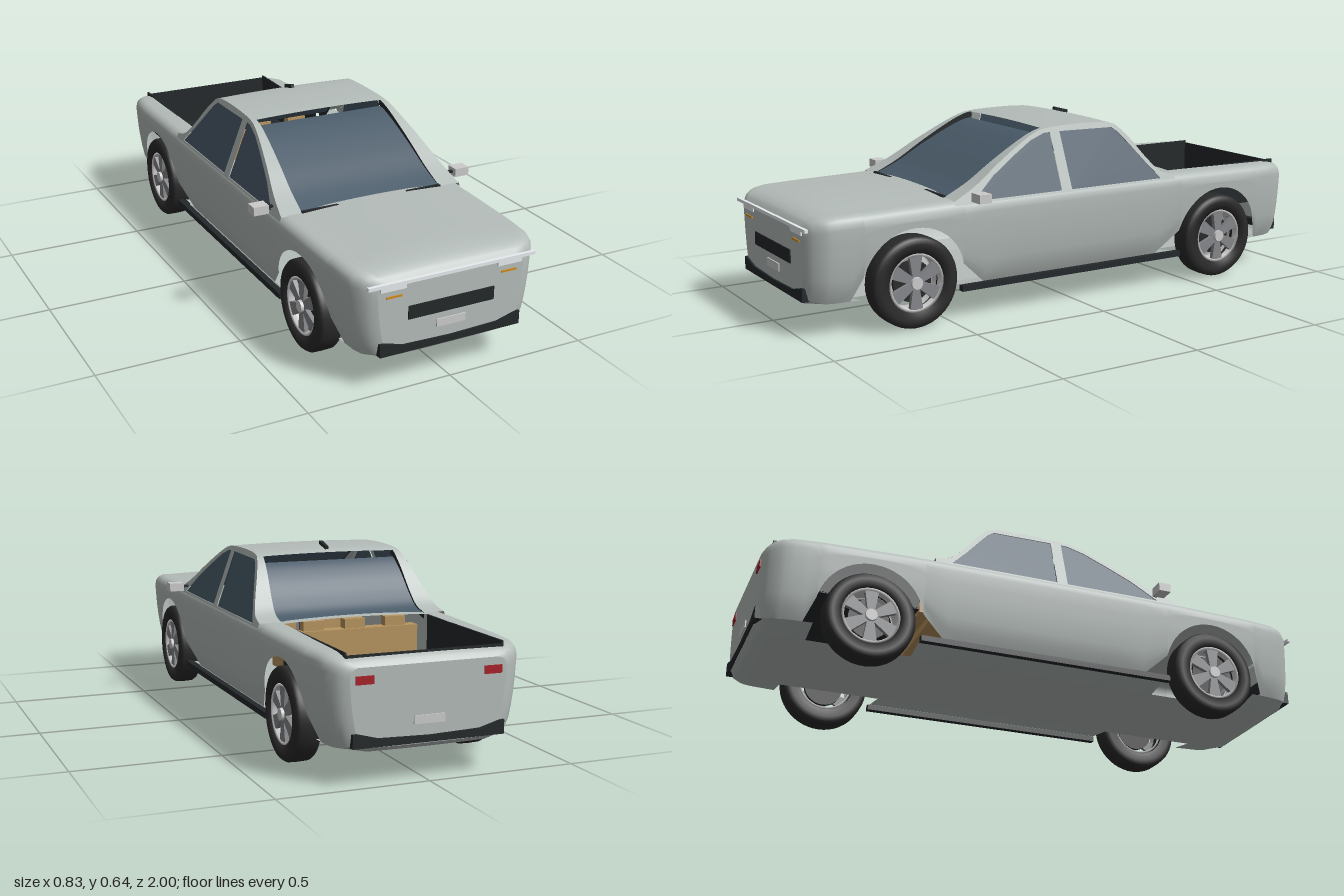
import * as THREE from 'three';

const mat = (color, side = THREE.FrontSide) => new THREE.MeshStandardMaterial({ color, side });
const paint = mat(0xb4bcb9, THREE.DoubleSide);
const glass = mat(0x4a5b69, THREE.DoubleSide);
const black = mat(0x24282a, THREE.DoubleSide);
const rubber = mat(0x2a2a2a, THREE.DoubleSide);
const grey = mat(0xcccccc, THREE.DoubleSide);
const alloy = mat(0x85878a);
const tan = mat(0xb8955f);
const white = mat(0xe8ecef);
const amber = mat(0xd08a1c);
const red = mat(0xa81f28);

// Piecewise linear lookup in a list of [key, value] with rising keys
function at(table, k) {
  let i = 1;
  while (i < table.length - 1 && table[i][0] < k) i++;
  const [a, b] = [table[i - 1], table[i]];
  return THREE.MathUtils.lerp(a[1], b[1], THREE.MathUtils.clamp((k - a[0]) / (b[0] - a[0]), 0, 1));
}
const range = (a, b, n) => Array.from({ length: n + 1 }, (_, i) => a + (b - a) * i / n);

// Smooth sheet over a grid of parameters
function sheet(us, vs, fn) {
  const pos = [], index = [], n = vs.length;
  us.forEach((u, i) => vs.forEach((v, j) => {
    pos.push(...fn(u, v));
    if (i && j) {
      const d = i * n + j, c = d - 1, b = d - n, a = b - 1;
      index.push(a, c, b, b, c, d);
    }
  }));
  const g = new THREE.BufferGeometry();
  g.setAttribute('position', new THREE.Float32BufferAttribute(pos, 3));
  g.setIndex(index);
  g.computeVertexNormals();
  return g;
}

// Lower body rules, by distance from the middle
const WHEEL_Z = 0.635, WHEEL_Y = 0.155, ARCH = 0.185, END = 0.99, INNER = 0.265;
const halfWidth = z => at([[0, 0.352], [0.5, 0.352], [0.8, 0.347], [0.9, 0.338], [0.94, 0.326], [0.97, 0.302], [0.985, 0.278], [END, 0.262]], Math.abs(z));
const topY = z => at([[0, 0.412], [0.5, 0.41], [0.9, 0.403], [0.95, 0.396], [0.975, 0.384], [END, 0.366]], Math.abs(z));
const lowY = z => at([[0, 0.115], [0.93, 0.115], [0.97, 0.122], [END, 0.138]], Math.abs(z));
const bulge = f => at([[0, 0.87], [0.15, 0.93], [0.35, 0.963], [0.6, 0.987], [0.85, 1], [0.91, 0.992], [0.95, 0.975], [0.98, 0.945], [1, 0.9]], f);
const crown = (x, z) => 0.008 * (1 - (x / INNER) ** 2) * THREE.MathUtils.clamp((END - Math.abs(z)) * 8, 0, 1);
const CHORD = Math.sqrt(ARCH ** 2 - (WHEEL_Y - 0.115) ** 2);
const halfStations = [...range(0, WHEEL_Z - CHORD, 5), ...range(0, Math.PI, 24).map(a => WHEEL_Z - ARCH * Math.cos(a))
  .filter(z => Math.abs(z - WHEEL_Z) < CHORD), WHEEL_Z + CHORD, 0.85, 0.9, 0.925, 0.94, 0.955, 0.97, 0.978, 0.985, END];
const stations = [...halfStations.slice(1).reverse().map(z => -z), ...halfStations];

function bodySide(z, k) {
  const low = lowY(z), top = topY(z);
  const d = Math.abs(Math.abs(z) - WHEEL_Z);
  const edge = d <= CHORD ? Math.max(low, WHEEL_Y + Math.sqrt(ARCH ** 2 - d * d)) : low;
  const f0 = (edge - low) / (top - low);
  const f = k <= 6 ? f0 + (0.85 - f0) * k / 6 : [0.91, 0.95, 0.98, 1, 1][k - 7];
  const x = k === 11 ? Math.min(INNER, halfWidth(z) * 0.85) : halfWidth(z) * bulge(f);
  return [x, low + (top - low) * f, z];
}

// Cabin rules: side outline (z, y) and inward lean
const outline = new THREE.SplineCurve([[-0.42, 0.411], [-0.36, 0.43], [-0.31, 0.48], [-0.26, 0.545], [-0.215, 0.592], [-0.18, 0.61],
  [-0.1, 0.616], [0, 0.616], [0.08, 0.612], [0.13, 0.602], [0.2, 0.57], [0.3, 0.514], [0.4, 0.452], [0.49, 0.409]]
  .map(p => new THREE.Vector2(...p))).getPoints(70);
const roofTable = outline.map(p => [p.x, p.y]);
const roofY = z => at(roofTable, z);
const cabinX = y => 0.345 - 0.37 * (y - 0.4);
const glassX = y => 0.268 - 0.09 * (y - 0.41);
const windows = {
  frontSideWindow: [[0.42, 0.402], [0.33, 0.475], [0.24, 0.53], [0.16, 0.575], [0.1, 0.596], [0.075, 0.597], [0.068, 0.402]],
  rearSideWindow: [[0.028, 0.402], [0.035, 0.597], [-0.185, 0.594], [-0.21, 0.575], [-0.245, 0.535], [-0.3, 0.468], [-0.36, 0.402]],
};
const vectors = list => list.map(p => new THREE.Vector2(...p));

// Flat shape in (z, y) laid on the leaning cabin side
function lean(shape, side, inset) {
  const g = new THREE.ShapeGeometry(shape), p = g.attributes.position;
  for (let i = 0; i < p.count; i++) {
    const z = p.getX(i), y = p.getY(i);
    p.setXYZ(i, side * (cabinX(y) - inset), y, z);
  }
  g.computeVertexNormals();
  return g;
}

function makeWheel(side) {
  const wheel = new THREE.Group();
  wheel.name = 'wheel';
  const put = (name, g, m) => {
    const o = new THREE.Mesh(g, m);
    o.name = name;
    wheel.add(o);
    return o;
  };
  const tyre = [[0.1, -0.04], [0.13, -0.045], [0.147, -0.04], [0.154, -0.03], [0.155, 0], [0.154, 0.03], [0.147, 0.04], [0.13, 0.045], [0.1, 0.04], [0.097, 0], [0.1, -0.04]];
  put('tyre', new THREE.LatheGeometry(vectors(tyre), 48), rubber);
  put('rim', new THREE.LatheGeometry(vectors([[0.088, 0.015], [0.09, 0.035], [0.099, 0.038], [0.097, -0.035], [0.09, -0.035]]), 40), grey);
  put('brakeDisc', new THREE.CylinderGeometry(0.07, 0.07, 0.012, 32), rubber);
  put('hub', new THREE.CylinderGeometry(0.02, 0.024, 0.05, 20), grey).position.y = 0.02;
  for (let i = 0; i < 6; i++) {
    const a = i * Math.PI / 3;
    const spoke = new THREE.Shape(vectors([[0.01, -0.011], [0.093, -0.024], [0.093, 0.024], [0.01, 0.011]]));
    const g = new THREE.ExtrudeGeometry(spoke, { depth: 0.015, bevelEnabled: false }).rotateX(-Math.PI / 2).translate(0, 0.02, 0);
    put('spoke', g, alloy).rotation.y = a;
  }
  wheel.rotation.z = -side * Math.PI / 2;
  return wheel;
}

export function createModel() {
  const model = new THREE.Group();
  const add = (name, geometry, material) => {
    const m = new THREE.Mesh(geometry, material);
    m.name = name;
    model.add(m);
    return m;
  };
  const box = (name, material, w, h, d, x, y, z) =>
    add(name, new THREE.BoxGeometry(w, h, d), material).position.set(x, y, z);

  // Painted top sheets between the shoulders
  const top = (x, z) => [x * Math.min(INNER, halfWidth(z) * 0.85), topY(z) + crown(x * INNER, z), z];
  const across = range(-1, 1, 16);
  add('hood', sheet([...range(0.47, 0.9, 8), 0.925, 0.94, 0.955, 0.97, 0.978, 0.985, END], across, (z, x) => top(x, z)), paint);
  add('rearDeck', sheet(range(-0.45, -0.405, 1), across, (z, x) => top(x, z)), paint);
  add('tailgateTop', sheet([-END, -0.985, -0.978, -0.97, -0.96], across, (z, x) => top(x, z)), paint);

  // Floor pan, notched at the wheels
  add('floorPan', sheet(stations, range(-0.2, 0.2, 4), (z, x) => [x, lowY(z) - 0.02 + 0.05 * x * x, z]), paint);
  const [near, far] = [WHEEL_Z - CHORD, WHEEL_Z + CHORD];
  const spans = [range(-near, near, 6), stations.filter(z => z >= far - 1e-6), stations.filter(z => z <= -far + 1e-6)];

  // Front and rear faces
  for (const end of [1, -1]) {
    const half = range(0, 11, 11).map(k => bodySide(end * END, k));
    const ring = [[0, lowY(END) - 0.02], [0.2, lowY(END) - 0.018], ...half, ...half.slice().reverse().map(p => [-p[0], p[1]]), [-0.2, lowY(END) - 0.018]];
    add(end > 0 ? 'frontFace' : 'tailgate', new THREE.ShapeGeometry(new THREE.Shape(ring.map(p => new THREE.Vector2(p[0], p[1])))), paint).position.z = end * END;
    const lip = new THREE.Shape(vectors([[-0.255, 0.122], [0.255, 0.122], [0.255, 0.167], [0.24, 0.167], [0.17, 0.148], [0, 0.143], [-0.17, 0.148], [-0.24, 0.167], [-0.255, 0.167]]));
    add('bumper', new THREE.ExtrudeGeometry(lip, { depth: 0.035, bevelEnabled: false }), black).position.z = end > 0 ? 0.962 : -0.997;
    box('plate', grey, 0.105, 0.027, 0.008, 0, 0.193, end * 0.99);
  }

  for (const s of [1, -1]) {
    add('bodySide', sheet(stations, range(0, 11, 11), (z, k) => {
      const p = bodySide(z, k);
      return [s * p[0], p[1], z];
    }), paint);
    for (const span of spans) add('floorEdge', sheet(span, [0, 1], (z, t) =>
      [s * THREE.MathUtils.lerp(0.2, halfWidth(z) * bulge(0), t), lowY(z) - 0.018 * (1 - t), z]), paint);

    // Cabin side with window openings and glass
    const panel = new THREE.Shape([...outline, new THREE.Vector2(0.49, 0.395), new THREE.Vector2(-0.42, 0.395)]);
    for (const [name, pts] of Object.entries(windows)) {
      panel.holes.push(new THREE.Path(vectors(pts)));
      add(name, lean(new THREE.Shape(vectors(pts)), s, 0.004), glass);
    }
    add('cabinSide', lean(panel, s, 0), paint);
    for (const [name, a, b] of [['frontPillar', 0.09, 0.49], ['rearPillar', -0.42, -0.18]]) {
      add(name, sheet(range(a, b, 24), [0, 1], (z, t) => {
        const y = roofY(z);
        return [s * THREE.MathUtils.lerp(glassX(y) - 0.004, cabinX(y), t), y, z];
      }), paint);
      add('windowTrim', sheet(range(a, b, 24), [0, 1], (z, t) => {
        const y = roofY(z);
        return [s * (glassX(y) - 0.004), y - 0.022 * t, z];
      }), black);
    }

    // Mirrors, sills, lamps
    box('mirror', grey, 0.054, 0.03, 0.045, s * 0.388, 0.422, 0.415);
    box('mirrorArm', black, 0.03, 0.008, 0.012, s * 0.352, 0.422, 0.415);
    box('sill', black, 0.022, 0.02, 0.92, s * 0.325, 0.108, 0);
    box('headlight', white, 0.09, 0.015, 0.012, s * 0.21, 0.347, 0.988);
    box('turnSignal', amber, 0.056, 0.006, 0.012, s * 0.207, 0.318, 0.988);
    box('tailLight', red, 0.06, 0.026, 0.012, s * 0.215, 0.328, -0.988);

    // Bed side lining and wheels
    box('bedWall', black, 0.006, 0.158, 0.51, s * 0.264, 0.329, -0.705);
    for (const z of [WHEEL_Z, -WHEEL_Z]) {
      const wheel = makeWheel(s);
      wheel.position.set(s * 0.306, WHEEL_Y, z);
      model.add(wheel);
    }
  }

  // Roof and end windows
  add('roof', sheet(range(-0.2, 0.1, 20), across, (z, t) => {
    const y = roofY(z);
    return [t * cabinX(y), y + 0.005 * (1 - t * t), z];
  }), paint);
  const pane = (name, base, head) => add(name, sheet(range(0, 1, 20), [-1, 1], (t, x) => {
    const z = THREE.MathUtils.lerp(base, head, t), y = roofY(z);
    return [x * (glassX(y) - 0.004), y - 0.002 - 0.02 * t, z];
  }), glass);
  pane('windshield', 0.488, 0.1);
  pane('rearWindow', -0.412, -0.2);
  box('cowl', black, 0.53, 0.008, 0.012, 0, 0.412, 0.487);
  const antenna = add('antenna', new THREE.BoxGeometry(0.012, 0.012, 0.06), black);
  antenna.position.set(0, 0.628, -0.148);
  antenna.rotation.x = -0.25;

  // Nose details
  box('lightBar', white, 0.6, 0.011, 0.012, 0, 0.362, 0.994);
  box('grille', black, 0.31, 0.045, 0.012, 0, 0.252, 0.988);

  // Cargo bed
  box('bedFloor', black, 0.53, 0.006, 0.51, 0, 0.25, -0.705);
  box('bedRearWall', black, 0.53, 0.15, 0.006, 0, 0.324, -0.959);

  // Seats
  box('rearBench', tan, 0.46, 0.04, 0.16, 0, 0.25, -0.32);
  box('rearBenchBack', tan, 0.46, 0.12, 0.045, 0, 0.315, -0.415);
  for (const x of [-0.15, 0, 0.15]) box('rearHeadrest', tan, 0.075, 0.035, 0.035, x, 0.39, -0.41);
  for (const x of [-0.13, 0.13]) {
    box('frontSeat', tan, 0.16, 0.04, 0.17, x, 0.25, 0.12);
    box('frontSeatBack', tan, 0.16, 0.2, 0.045, x, 0.34, 0.02);
    box('frontHeadrest', tan, 0.08, 0.05, 0.035, x, 0.465, 0.015);
  }
  return model;
}
